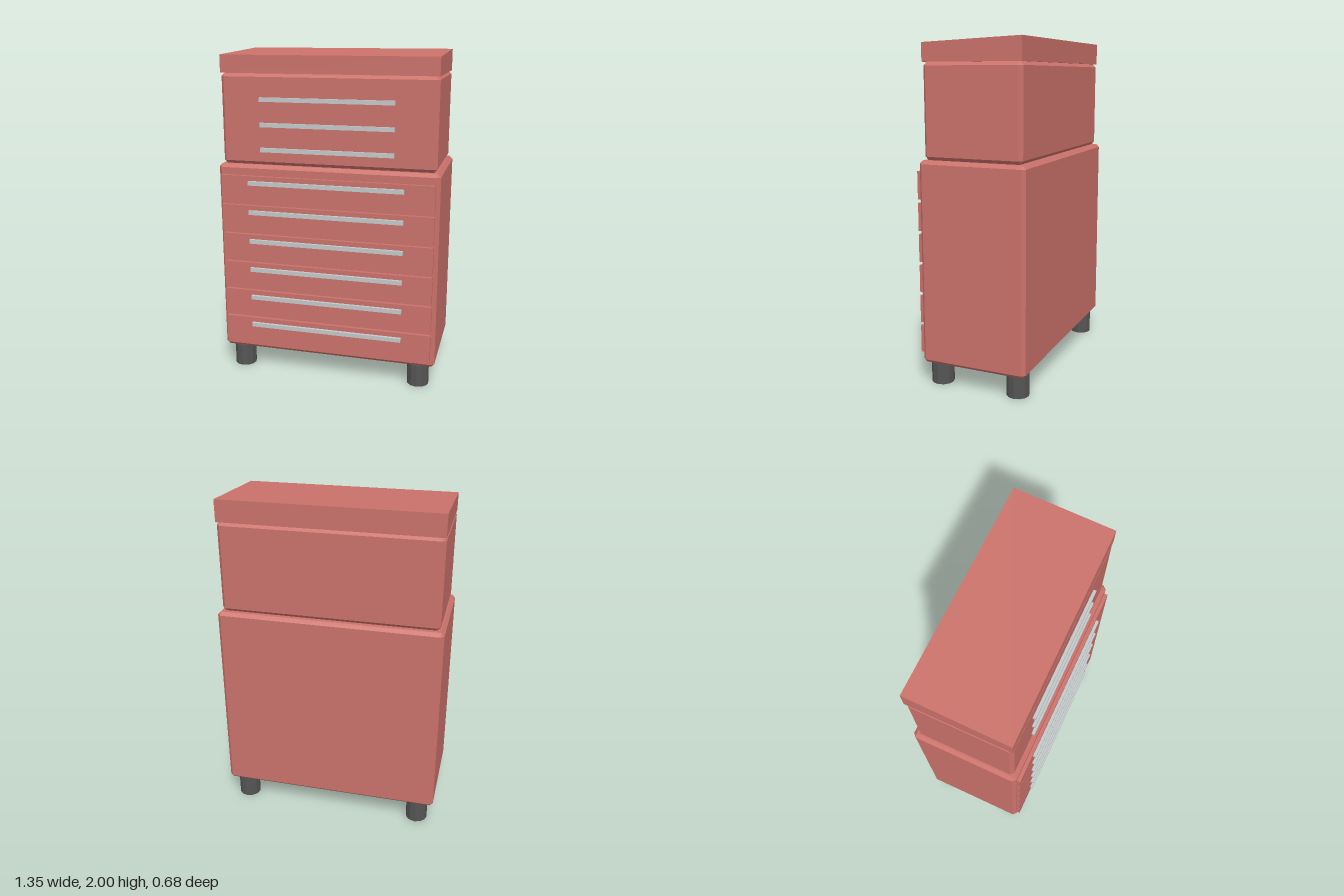
import * as THREE from 'three';
import { ConvexGeometry } from 'three/addons/geometries/ConvexGeometry.js';

const paint = new THREE.MeshStandardMaterial({ name: 'red paint', color: 0xcb726b });
const metal = new THREE.MeshStandardMaterial({ name: 'light metal', color: 0xc3c8c9 });
const rubber = new THREE.MeshStandardMaterial({ name: 'dark rubber', color: 0x555555, flatShading: true });

// Box with all edges cut at 45 degrees
function chamferedBox(w, h, d, c) {
  const pts = [];
  for (const sx of [-1, 1]) for (const sy of [-1, 1]) for (const sz of [-1, 1]) {
    const x = w / 2, y = h / 2, z = d / 2;
    pts.push(
      new THREE.Vector3(sx * x, sy * (y - c), sz * (z - c)),
      new THREE.Vector3(sx * (x - c), sy * y, sz * (z - c)),
      new THREE.Vector3(sx * (x - c), sy * (y - c), sz * z));
  }
  return new ConvexGeometry(pts);
}

export function createModel() {
  const model = new THREE.Group();
  model.name = 'toolChest';

  const add = (name, geometry, material, x, y, z) => {
    const mesh = new THREE.Mesh(geometry, material);
    mesh.name = name;
    mesh.position.set(x, y, z);
    model.add(mesh);
  };

  // Cabinets
  add('lowerCabinet', chamferedBox(1.346, 1.19, 0.645, 0.02), paint, 0, 0.735, -0.02);
  add('upperCabinet', chamferedBox(1.296, 0.54, 0.595, 0.02), paint, 0, 1.6, -0.018);

  // Lid, sloping down to the front: side profile extruded across the width
  const profile = new THREE.Shape([
    new THREE.Vector2(-0.28, 1.87), new THREE.Vector2(0.316, 1.87),
    new THREE.Vector2(0.316, 2.0), new THREE.Vector2(-0.28, 1.975)]);
  const lid = new THREE.ExtrudeGeometry(profile, { depth: 1.296, bevelEnabled: false });
  lid.translate(0, 0, -0.648).rotateY(Math.PI / 2);
  add('lid', lid, paint, 0, 0, 0);

  // Lower drawers, each with a bar handle
  const drawer = new THREE.BoxGeometry(1.296, 0.162, 0.022);
  const longHandle = new THREE.BoxGeometry(0.944, 0.025, 0.018);
  for (let i = 0; i < 6; i++) {
    const y = 0.275 + i * 0.182;
    add('drawerFront', drawer, paint, 0, y, 0.313);
    add('drawerHandle', longHandle, metal, 0, y + 0.04, 0.333);
  }

  // Upper handles
  const shortHandle = new THREE.BoxGeometry(0.808, 0.025, 0.018);
  for (let i = 0; i < 3; i++) add('upperHandle', shortHandle, metal, 0, 1.422 + i * 0.149, 0.288);

  // Feet
  const foot = new THREE.CylinderGeometry(0.067, 0.067, 0.14, 12);
  for (const x of [-0.567, 0.567]) for (const z of [-0.26, 0.226]) add('foot', foot, rubber, x, 0.07, z);

  return model;
}
